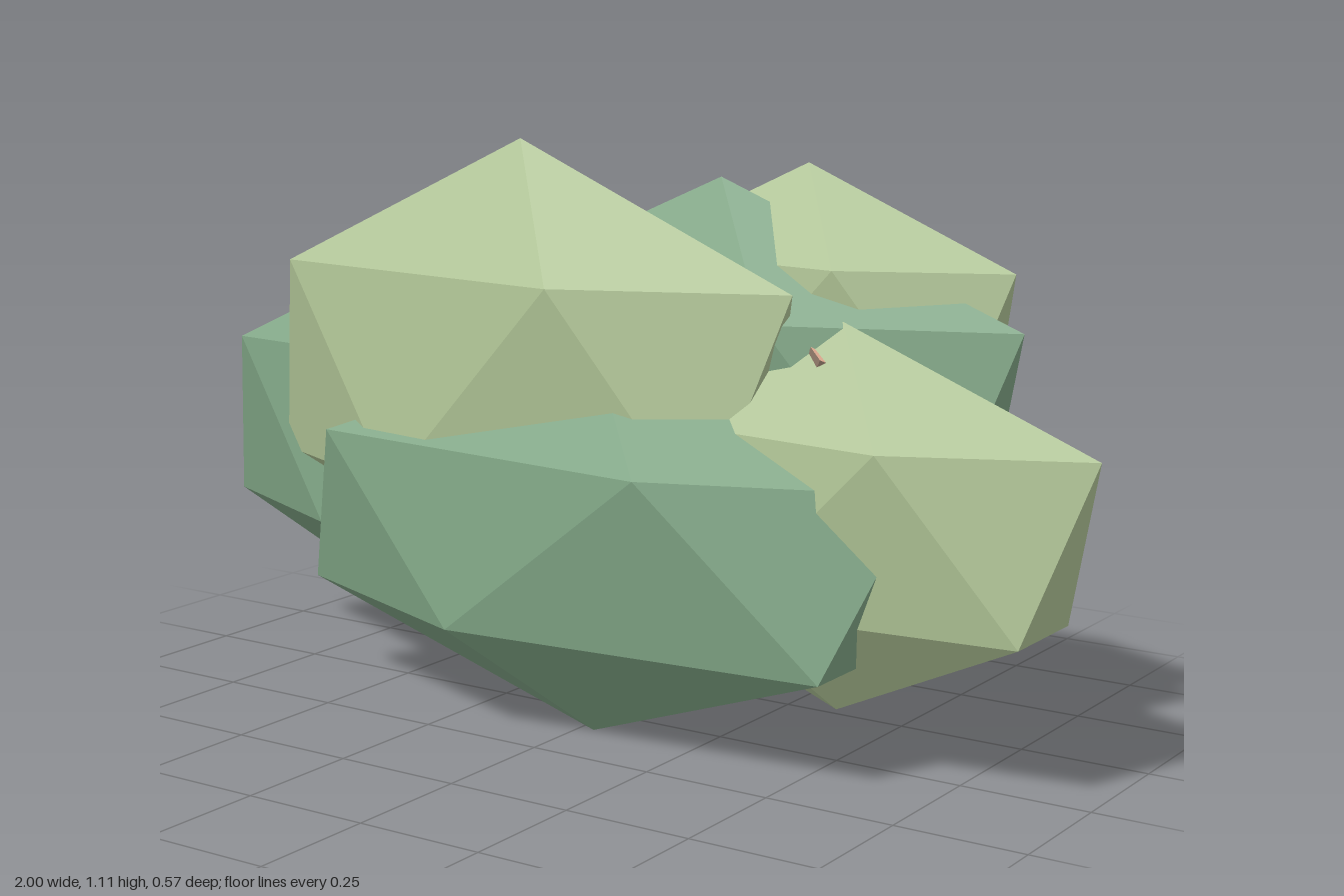
import * as THREE from 'three';
import { ConvexGeometry } from 'three/addons/geometries/ConvexGeometry.js';

const paint = (color) => new THREE.MeshStandardMaterial({ color, flatShading: true });
const lightLeaf = paint(0xb0c496);
const darkLeaf = paint(0x80a585);
const bark = paint(0x8c7666);
const cutWood = paint(0xe0ac92);

// Icosahedron standing on a vertex, one corner of its upper ring towards +x
function clumpGeometry() {
  const points = [new THREE.Vector3(0, 1, 0), new THREE.Vector3(0, -1, 0)];
  const h = 1 / Math.sqrt(5), r = 2 * h;
  for (let i = 0; i < 10; i++) {
    const a = i * Math.PI / 5;
    points.push(new THREE.Vector3(r * Math.cos(a), i % 2 ? -h : h, r * Math.sin(a)));
  }
  return new ConvexGeometry(points);
}

// Tapered six-sided stem between two points
function stem(from, to, r0, r1) {
  const a = new THREE.Vector3(...from), b = new THREE.Vector3(...to);
  const dir = b.clone().sub(a);
  const geometry = new THREE.CylinderGeometry(r1, r0, dir.length(), 6);
  const mesh = new THREE.Mesh(geometry, [bark, cutWood, bark]);
  mesh.position.copy(a).add(b).multiplyScalar(0.5);
  mesh.quaternion.setFromUnitVectors(new THREE.Vector3(0, 1, 0), dir.normalize());
  return mesh;
}

export function createModel() {
  const bush = new THREE.Group();
  bush.name = 'bush';

  // Leaf clumps: name, material, centre, half sizes
  const geometry = clumpGeometry();
  const clumps = [
    ['upperFrontClump', lightLeaf, [-0.17, 0.672, 0.05], [0.663, 0.453, 0.212]],
    ['lowerFrontClump', darkLeaf, [0.03, 0.392, 0.1], [0.76, 0.372, 0.218]],
    ['leftClump', lightLeaf, [0.503, 0.475, 0.01], [0.556, 0.355, 0.19]],
    ['rightClump', darkLeaf, [-0.48, 0.51, -0.07], [0.582, 0.39, 0.194]],
    ['upperBackClump', lightLeaf, [0.34, 0.774, -0.145], [0.47, 0.317, 0.165]],
    ['middleBackClump', darkLeaf, [0.18, 0.625, -0.1], [0.694, 0.435, 0.204]],
  ];
  for (const [name, material, centre, size] of clumps) {
    const clump = new THREE.Mesh(geometry, material);
    clump.name = name;
    clump.position.set(...centre);
    clump.scale.set(...size);
    bush.add(clump);
  }

  // Stems fanning out of the ground into the foliage
  const stems = new THREE.Group();
  stems.name = 'stems';
  const paths = [
    [[0.14, 0.12, -0.03], [0.49, 0.77, 0.025]],
    [[0.04, 0.075, -0.03], [0.14, 0.6, -0.04]],
    [[-0.06, 0.08, -0.03], [-0.26, 0.55, -0.03]],
    [[-0.14, 0.12, -0.03], [-0.5, 0.5, -0.04]],
  ];
  paths.forEach(([from, to], i) => {
    const mesh = stem(from, to, 0.045, 0.04);
    mesh.name = `stem${i + 1}`;
    stems.add(mesh);
  });
  bush.add(stems);
  return bush;
}
